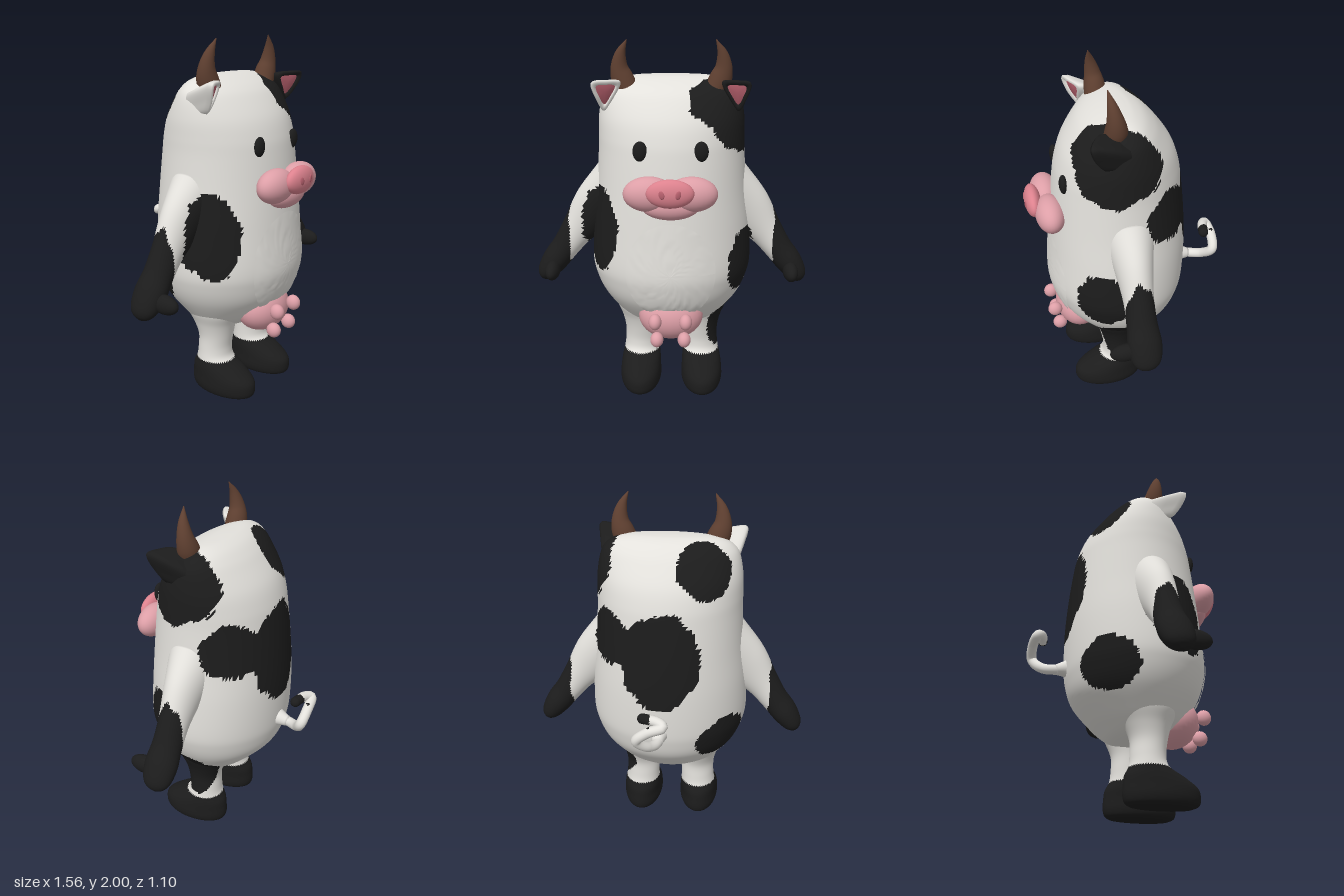
import * as THREE from 'three';

const mat = (name, color) => Object.assign(new THREE.MeshStandardMaterial({ color }), { name });
const V = (x, y, z) => new THREE.Vector3(x, y, z);

// Black patches: centre x, y, z and radii x, y, z
const SPOTS = [
  [0.32, 1.62, 0.11, 0.17, 0.21, 0.24], [0.24, 1.69, 0.2, 0.15, 0.14, 0.18], // left of head
  [-0.2, 1.68, -0.16, 0.15, 0.17, 0.15],                                     // back of head
  [0.03, 1.21, -0.33, 0.22, 0.28, 0.16], [0.32, 1.3, -0.19, 0.17, 0.15, 0.17], // back
  [-0.32, 0.7, -0.2, 0.17, 0.15, 0.18],                                      // right hip
  [-0.39, 1.0, 0.2, 0.12, 0.23, 0.25],                                       // right chest and arm
  [0.39, 0.82, 0.2, 0.13, 0.18, 0.16],                                       // left belly
  [0.27, 0.41, 0.075, 0.085, 0.18, 0.16], [0.34, 0.5, 0.09, 0.09, 0.09, 0.11], // left thigh
];
const isSpot = (p) => SPOTS.some(([x, y, z, a, b, c]) => {
  const d = Math.hypot((p.x - x) / a, (p.y - y) / b, (p.z - z) / c);
  const wobble = Math.sin(p.x * 23 + p.y * 17) * Math.sin(p.y * 29 - p.z * 21);
  return d < 1 + 0.07 * wobble + 0.025 * Math.sin(p.x * 140 + p.y * 170 + p.z * 120);
});

// Closed skin over rings of points, capped at both ends
function loft(rows) {
  const n = rows[0].length, m = rows.length, pos = [], index = [];
  rows.flat().forEach((p) => pos.push(p.x, p.y, p.z));
  for (const row of [rows[0], rows[m - 1]]) {
    const c = row.reduce((s, p) => s.add(p), V(0, 0, 0)).divideScalar(n);
    pos.push(c.x, c.y, c.z);
  }
  for (let j = 0; j < n; j++) {
    const k = (j + 1) % n;
    for (let i = 0; i < m - 1; i++) {
      const a = i * n + j, b = i * n + k;
      index.push(a, a + n, b, b, a + n, b + n);
    }
    index.push(m * n, j, k, m * n + 1, (m - 1) * n + k, (m - 1) * n + j);
  }
  const g = new THREE.BufferGeometry();
  g.setAttribute('position', new THREE.Float32BufferAttribute(pos, 3));
  g.setIndex(index);
  g.computeVertexNormals();
  return g;
}

const ring = (n, f) => Array.from({ length: n }, (_, j) => f(Math.cos(j / n * 2 * Math.PI), Math.sin(j / n * 2 * Math.PI)));
const spline = (pts, closed = false) => new THREE.CatmullRomCurve3(pts, closed, 'catmullrom');

// Smoothly resample level sections [y, cx, cz, rx, rz]
function sample(keys, n) {
  const c = spline(keys.map((k) => V(k[1], k[0], k[2])));
  const r = spline(keys.map((k) => V(k[3], k[4], 0)));
  return Array.from({ length: n + 1 }, (_, i) => {
    const p = c.getPoint(i / n), q = r.getPoint(i / n);
    return { y: p.y, cx: p.x, cz: p.z, rx: Math.max(q.x, 0.001), rz: Math.max(q.y, 0.001) };
  });
}
const stack = (secs, n) => loft(secs.map((s) => ring(n, (c, d) => V(s.cx + s.rx * c, s.y, s.cz + s.rz * d))));

// Sweep an ellipse along points [x, y, z, radius in xy, radius in z]
function sweep(keys, steps, n) {
  const c = spline(keys.map((k) => V(k[0], k[1], k[2])));
  const r = spline(keys.map((k) => V(k[3], k[4], 0)));
  return loft(Array.from({ length: steps + 1 }, (_, i) => {
    const p = c.getPoint(i / steps), q = r.getPoint(i / steps), T = c.getTangent(i / steps);
    const N = T.clone().cross(V(0, 0, 1)).normalize(), B = N.clone().cross(T);
    return ring(n, (u, v) => p.clone().addScaledVector(N, u * q.x).addScaledVector(B, v * q.y));
  }));
}

// Sort triangles into two material groups by their centre
function paint(g, rule) {
  const p = g.attributes.position, ix = g.index.array, lists = [[], []], t = V(0, 0, 0), mid = V(0, 0, 0);
  for (let i = 0; i < ix.length; i += 3) {
    mid.set(0, 0, 0);
    for (let k = 0; k < 3; k++) mid.add(t.fromBufferAttribute(p, ix[i + k]));
    lists[rule(mid.divideScalar(3)) ? 1 : 0].push(ix[i], ix[i + 1], ix[i + 2]);
  }
  g.setIndex(lists.flat());
  g.addGroup(0, lists[0].length, 0);
  g.addGroup(lists[0].length, lists[1].length, 1);
  return g;
}

export function createModel() {
  const white = mat('white hide', 0xe3e1dc), black = mat('black hide', 0x1c1c1c);
  const pink = mat('pink skin', 0xdd9fa7), nosePink = mat('nose pink', 0xdd828e);
  const deepPink = mat('deep pink', 0xb9626f), brown = mat('horn brown', 0x5e3f30);
  const hide = [white, black];
  const model = new THREE.Group();
  const add = (name, geo, material) => {
    const m = new THREE.Mesh(geo, material);
    m.name = name;
    model.add(m);
    return m;
  };
  const ball = (name, material, x, y, z, a, b, c) => {
    const m = add(name, new THREE.SphereGeometry(1, 32, 20), material);
    m.position.set(x, y, z);
    m.scale.set(a, b, c);
    return m;
  };

  // Body and head in one skin
  const bodySecs = sample([
    [0.365, 0, 0.05, 0.02, 0.02], [0.39, 0, 0.05, 0.17, 0.13], [0.44, 0, 0.05, 0.27, 0.2], [0.5, 0, 0.05, 0.325, 0.265],
    [0.6, 0, 0.045, 0.395, 0.345], [0.7, 0, 0.045, 0.435, 0.38], [0.8, 0, 0.045, 0.45, 0.392], [1.0, 0, 0.037, 0.44, 0.386],
    [1.2, 0, 0.035, 0.418, 0.371], [1.4, 0, 0.035, 0.403, 0.347], [1.5, 0, 0.035, 0.4, 0.328], [1.6, 0, 0.035, 0.395, 0.29],
    [1.7, 0, 0.035, 0.375, 0.22], [1.75, 0, 0.03, 0.345, 0.17], [1.785, 0, 0.02, 0.29, 0.115], [1.805, 0, 0.015, 0.2, 0.06],
    [1.81, 0, 0.01, 0.05, 0.015],
  ], 110);
  add('body', paint(stack(bodySecs, 140), isSpot), hide);
  const frontZ = (x, y) => {
    const s = bodySecs.find((b) => b.y >= y);
    return s.cz + s.rz * Math.sqrt(Math.max(0, 1 - (x / s.rx) ** 2));
  };

  // Belly panel lying just proud of the body
  const belly = new THREE.CircleGeometry(1, 64);
  const panel = new THREE.RingGeometry(0.001, 1, 64, 12);
  belly.dispose();
  const bp = panel.attributes.position;
  for (let i = 0; i < bp.count; i++) {
    const x = 0.242 * bp.getX(i), y = 0.8 + 0.29 * bp.getY(i);
    bp.setXYZ(i, x, y, frontZ(x, y) + 0.006);
  }
  panel.computeVertexNormals();
  add('belly', panel, white);

  for (const s of [1, -1]) {
    const side = s > 0 ? 'left' : 'right';

    // Leg with boot
    const leg = stack(sample([
      [0, s * 0.18, 0.13, 0.09, 0.17], [0.015, s * 0.18, 0.135, 0.11, 0.197], [0.05, s * 0.18, 0.135, 0.12, 0.207],
      [0.1, s * 0.18, 0.13, 0.118, 0.2], [0.15, s * 0.178, 0.1, 0.113, 0.163], [0.2, s * 0.175, 0.07, 0.104, 0.108],
      [0.26, s * 0.172, 0.065, 0.1, 0.095], [0.34, s * 0.17, 0.07, 0.102, 0.1], [0.42, s * 0.175, 0.065, 0.115, 0.125],
      [0.5, s * 0.19, 0.06, 0.13, 0.16], [0.58, s * 0.2, 0.05, 0.13, 0.17],
    ], 60), 56);
    add(side + 'Leg', paint(leg, (p) => p.y < 0.197 || isSpot(p)), hide);

    // Arm, hand and thumb
    const arm = sweep([
      [s * 0.28, 1.2, 0.04, 0.18, 0.15], [s * 0.42, 1.07, 0.04, 0.145, 0.105], [s * 0.53, 0.94, 0.04, 0.1, 0.082],
      [s * 0.61, 0.83, 0.04, 0.08, 0.082], [s * 0.675, 0.745, 0.04, 0.076, 0.092], [s * 0.725, 0.675, 0.04, 0.06, 0.08],
      [s * 0.748, 0.637, 0.04, 0.036, 0.05], [s * 0.757, 0.622, 0.04, 0.004, 0.006],
    ], 70, 56);
    add(side + 'Arm', paint(arm, (p) => Math.abs(p.x) > 0.58 + 0.006 * Math.sin(p.z * 90) || isSpot(p)), hide);
    ball(side + 'Thumb', black, s * 0.68, 0.71, 0.14, 0.042, 0.052, 0.088);

    // Ear: a rounded triangular scoop with a recessed pink inside
    const rim = spline([
      V(0.41, 1.79, 0.24), V(0.39, 1.705, 0.21), V(0.355, 1.635, 0.16),
      V(0.305, 1.7, 0.165), V(0.265, 1.785, 0.17), V(0.34, 1.8, 0.215),
    ], true).getPoints(36).slice(0, 36);
    const mid = V(0.345, 1.735, 0.195);
    const earRing = (k, dx, dy, dz) => rim.map((p) => {
      const q = p.clone().sub(mid).multiplyScalar(k).add(mid).add(V(dx, dy, dz));
      return q.setX(q.x * s);
    });
    const rows = [
      earRing(0.9, -0.03, -0.06, -0.19), earRing(0.95, -0.012, -0.025, -0.1), earRing(1, 0, 0, -0.03),
      earRing(1, 0, 0, 0), earRing(0.86, 0, 0, 0.012), earRing(0.68, 0, 0, 0), earRing(0.6, 0, 0, -0.015),
    ];
    if (s > 0) rows.forEach((r) => r.reverse());
    rows.forEach((r) => r.reverse());
    // ring order must run clockwise as seen from the front
    const area = rows[3].reduce((a, p, i, r) => a + p.x * r[(i + 1) % 36].y - p.y * r[(i + 1) % 36].x, 0);
    if (area > 0) rows.forEach((r) => r.reverse());
    add(side + 'Ear', loft(rows), s > 0 ? black : white);
    const inner = [earRing(0.64, 0, 0, -0.012), earRing(0.64, 0, 0, -0.004)];
    const innerArea = inner[0].reduce((a, p, i, r) => a + p.x * r[(i + 1) % 36].y - p.y * r[(i + 1) % 36].x, 0);
    if (innerArea > 0) inner.forEach((r) => r.reverse());
    add(side + 'InnerEar', loft(inner), deepPink);

    // Horn, eye, cheek, nostril and teats
    add(side + 'Horn', sweep([
      [s * 0.235, 1.74, 0.09, 0.06, 0.06], [s * 0.262, 1.8, 0.09, 0.06, 0.056], [s * 0.275, 1.86, 0.097, 0.045, 0.043],
      [s * 0.265, 1.93, 0.11, 0.027, 0.026], [s * 0.232, 2.0, 0.125, 0.002, 0.002],
    ], 28, 28), brown);
    ball(side + 'Eye', black, s * 0.157, 1.46, frontZ(0.157, 1.46) + 0.003, 0.038, 0.053, 0.022);
    ball(side + 'Muzzle', pink, s * 0.11, 1.255, 0.42, 0.134, 0.092, 0.08);
    ball(side + 'Nostril', deepPink, s * 0.042, 1.285, 0.538, 0.015, 0.022, 0.006).rotation.set(0, s * 0.25, s * -0.2);
    ball(side + 'UpperTeat', pink, s * 0.083, 0.533, 0.43, 0.035, 0.044, 0.042);
    ball(side + 'LowerTeat', pink, s * 0.075, 0.413, 0.405, 0.036, 0.042, 0.042);
  }

  // Chin, nose and udder
  ball('chin', pink, 0, 1.19, 0.42, 0.15, 0.072, 0.066);
  ball('nose', nosePink, 0, 1.28, 0.498, 0.122, 0.075, 0.045);
  ball('udder', pink, 0, 0.507, 0.277, 0.18, 0.138, 0.135);

  // Curled tail with a black tip
  const path = spline([
    V(0.03, 0.78, -0.3), V(0.03, 0.765, -0.4), V(0.075, 0.785, -0.47), V(0.13, 0.85, -0.515),
    V(0.07, 0.91, -0.525), V(-0.01, 0.94, -0.515), V(0.02, 0.955, -0.485), V(0.1, 0.96, -0.465),
  ]);
  add('tail', paint(new THREE.TubeGeometry(path, 70, 0.028, 16), (p) => p.x > 0.06 && p.y > 0.94), hide);
  ball('tailTip', black, 0.1, 0.96, -0.465, 0.028, 0.028, 0.028);
  add('tailRoot', sweep([[0.02, 0.78, -0.29, 0.07, 0.07], [0.028, 0.775, -0.34, 0.048, 0.048], [0.03, 0.765, -0.4, 0.028, 0.028]]
    .map(([x, y, z, a, b]) => [x, z, -y, a, b]), 10, 20).rotateX(Math.PI / 2), white);

  return model;
}
